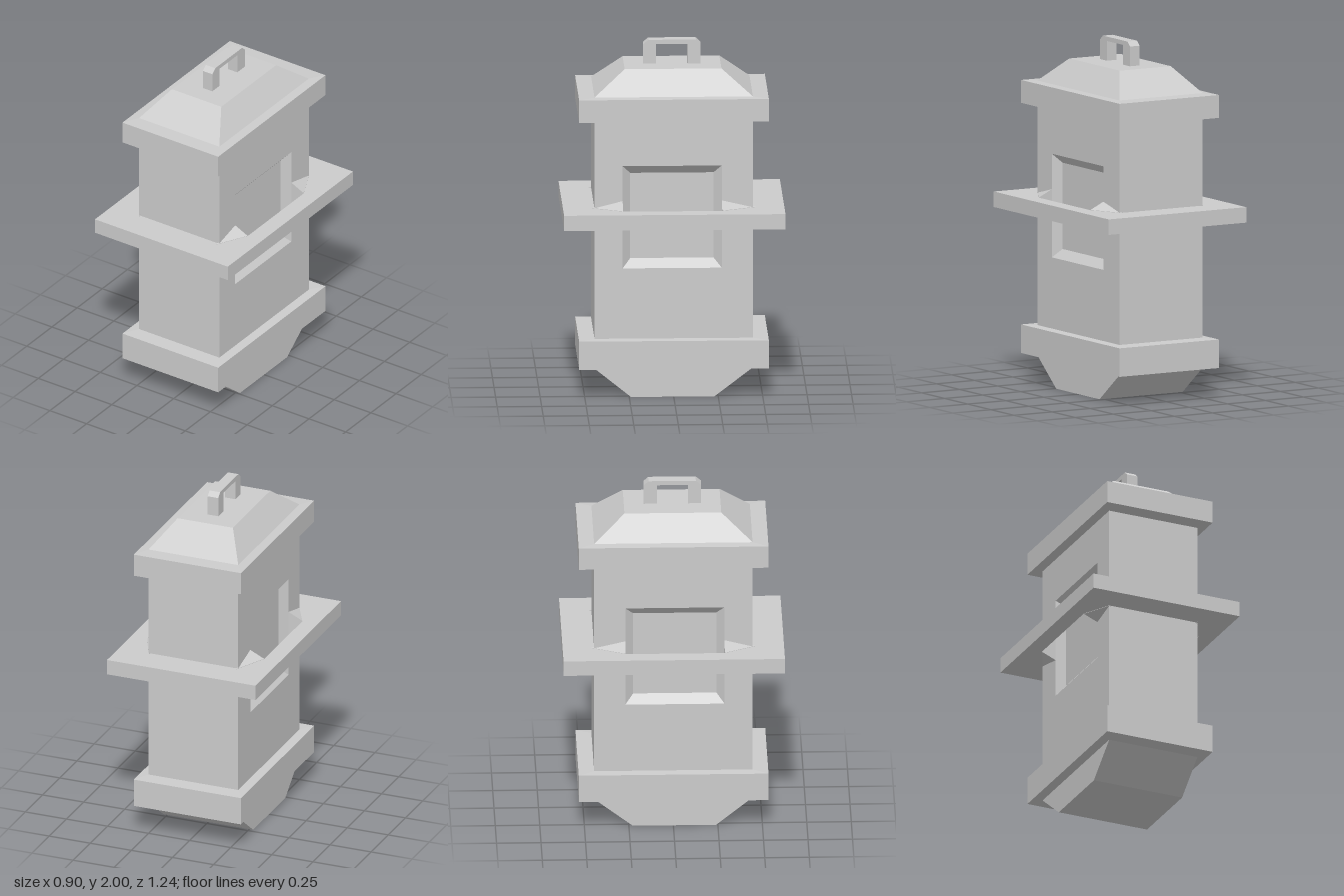
import * as THREE from 'three';
import { ConvexGeometry } from 'three/addons/geometries/ConvexGeometry.js';

const material = new THREE.MeshStandardMaterial({ color: 0xcccccc, flatShading: true });

function addMesh(group, name, geometry) {
  const mesh = new THREE.Mesh(geometry, material);
  mesh.name = name;
  group.add(mesh);
  return mesh;
}

// Joins rectangles [t, u0, u1, v0, v1] along an axis (0 = x, 1 = y) and caps both ends.
// u and v are the next two axes in cyclic order.
function loft(axis, rects) {
  const positions = [];
  const rings = rects.map(([t, u0, u1, v0, v1]) =>
    [[u0, v0], [u1, v0], [u1, v1], [u0, v1]].map(([u, v]) => {
      const p = [0, 0, 0];
      p[axis] = t;
      p[(axis + 1) % 3] = u;
      p[(axis + 2) % 3] = v;
      return p;
    }));
  const quad = (a, b, c, d) => positions.push(...a, ...b, ...c, ...a, ...c, ...d);
  for (let i = 0; i < rings.length - 1; i++) {
    for (let k = 0; k < 4; k++) {
      const n = (k + 1) % 4;
      quad(rings[i][k], rings[i][n], rings[i + 1][n], rings[i + 1][k]);
    }
  }
  quad(...[...rings[0]].reverse());
  quad(...rings[rings.length - 1]);
  const geometry = new THREE.BufferGeometry();
  geometry.setAttribute('position', new THREE.Float32BufferAttribute(positions, 3));
  geometry.computeVertexNormals();
  return geometry;
}

const polygon = (Type, points) => new Type(points.map(([x, y]) => new THREE.Vector2(x, y)));

// Centred rectangle at height y
const level = (y, halfX, halfZ) => [y, -halfZ, halfZ, -halfX, halfX];

export function createModel() {
  const model = new THREE.Group();
  model.name = 'lantern';

  // Body with a bevelled window recess on each side
  const wall = [0.33, 1.59, -0.445, 0.445];
  const opening = [0.74, 1.328, -0.27, 0.287];
  const pane = [0.79, 1.28, -0.225, 0.243];
  addMesh(model, 'body', loft(0, [
    [-0.23, ...pane], [-0.273, ...opening], [-0.273, ...wall],
    [0.273, ...wall], [0.273, ...opening], [0.23, ...pane],
  ]));

  // Base: foot sloping on front and back, then a wide collar
  addMesh(model, 'base', loft(1, [
    [0, -0.228, 0.24, -0.273, 0.273],
    level(0.165, 0.273, 0.445), level(0.17, 0.326, 0.533),
    level(0.332, 0.326, 0.533), level(0.336, 0.273, 0.445),
  ]));

  // Lid: matching collar with a hipped roof
  addMesh(model, 'lid', loft(1, [
    level(1.584, 0.273, 0.445), level(1.59, 0.326, 0.533),
    level(1.72, 0.326, 0.533), level(1.724, 0.273, 0.445), level(1.863, 0.168, 0.272),
  ]));

  // Handle with chamfered corners
  const arch = polygon(THREE.Shape, [
    [-0.163, 1.85], [-0.09, 1.85], [-0.09, 1.975], [0.085, 1.975], [0.085, 1.85],
    [0.16, 1.85], [0.16, 1.975], [0.133, 2], [-0.133, 2], [-0.163, 1.975],
  ]);
  const handle = new THREE.ExtrudeGeometry(arch, { depth: 0.064, bevelEnabled: false });
  handle.translate(0, 0, -0.032).rotateY(Math.PI / 2);
  addMesh(model, 'handle', handle);

  // Guard plate around the middle, open in front of the windows
  const zBack = -0.27, zFront = 0.287;
  const plate = polygon(THREE.Shape, [[-0.452, -0.622], [0.452, -0.622], [0.452, 0.622], [-0.452, 0.622]]);
  for (const s of [-1, 1]) {
    plate.holes.push(polygon(THREE.Path, [
      [s * 0.2, -zFront], [s * 0.357, -zFront], [s * 0.357, -zBack], [s * 0.2, -zBack],
    ]));
  }
  const guard = new THREE.ExtrudeGeometry(plate, { depth: 0.088, bevelEnabled: false });
  guard.rotateX(-Math.PI / 2).translate(0, 0.997, 0);
  addMesh(model, 'guardPlate', guard);

  // Wedge braces where the plate meets each window edge
  for (const side of [-1, 1]) {
    for (const [zEdge, zCorner] of [[zFront, 0.46], [zBack, -0.46]]) {
      const points = [
        [0.265, 1.131, zEdge], [0.265, 0.957, zEdge],
        [0.357, 1.087, zEdge], [0.357, 0.995, zEdge],
        [0.265, 1.087, zCorner], [0.265, 0.995, zCorner],
      ].map(([x, y, z]) => new THREE.Vector3(side * x, y, z));
      addMesh(model, 'guardBrace', new ConvexGeometry(points));
    }
  }

  return model;
}
